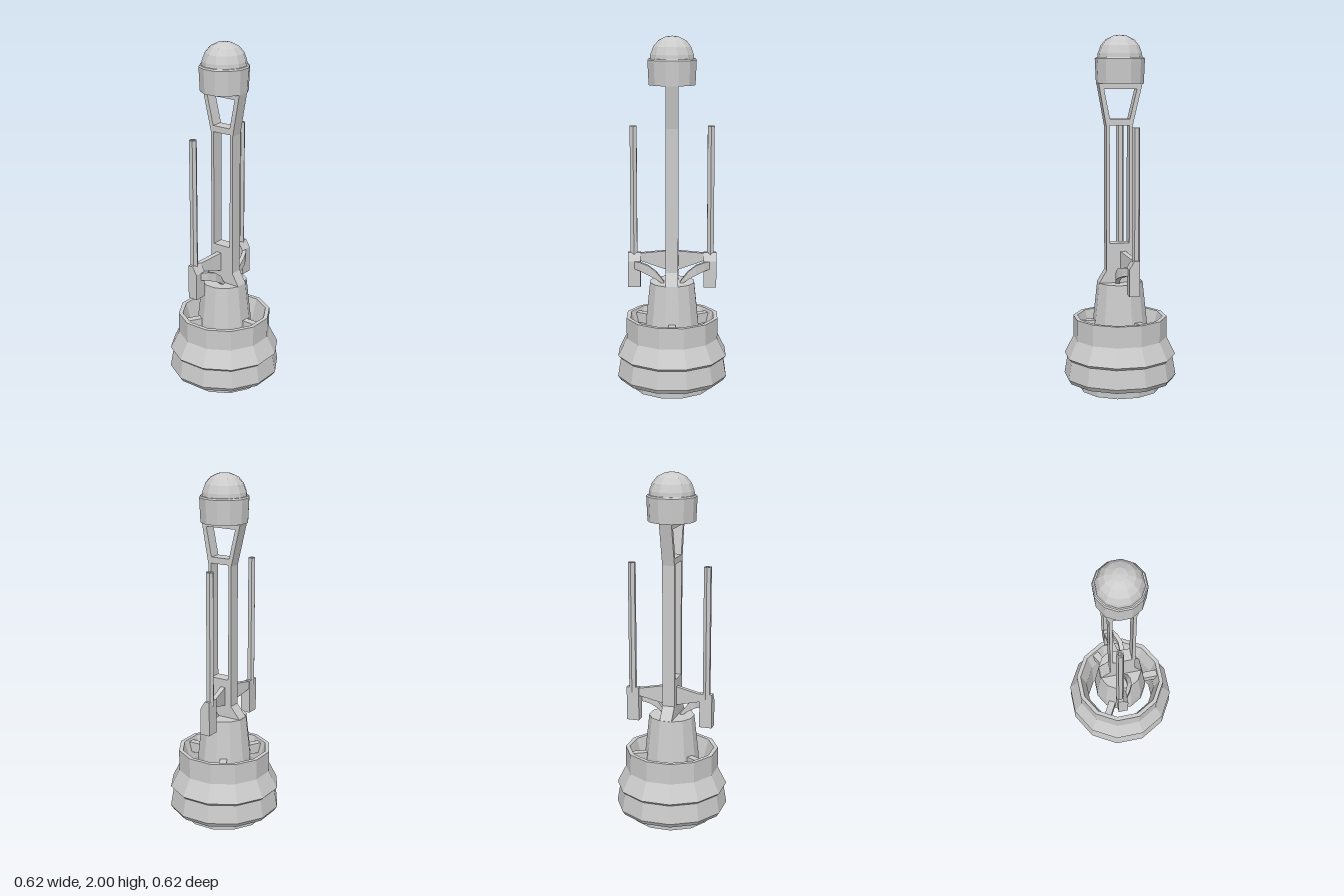
import * as THREE from 'three';

const SIDES = 12;
const mat = new THREE.MeshStandardMaterial({ color: 0xcccccc, flatShading: true });

function add(parent, name, geometry) {
  const mesh = new THREE.Mesh(geometry, mat);
  mesh.name = name;
  parent.add(mesh);
  return mesh;
}

// Twelve-sided turned part; profile is [distance to flat, y], flats face the axes
function turned(profile) {
  const k = 1 / Math.cos(Math.PI / SIDES);
  const pts = profile.map(([r, y]) => new THREE.Vector2(r * k, y));
  return new THREE.LatheGeometry(pts, SIDES, Math.PI / SIDES);
}

// Bar through rectangular sections [x, yBottom, yTop, zBack, zFront]; side -1 mirrors it
function bar(sections, side) {
  const pos = [], index = [];
  for (const [x, y0, y1, z0, z1] of sections) {
    pos.push(x * side, y0, z0, x * side, y1, z0, x * side, y1, z1, x * side, y0, z1);
  }
  const quad = (a, b, c, d) => (side > 0
    ? index.push(a, b, c, a, c, d)
    : index.push(a, c, b, a, d, c));
  const last = (sections.length - 1) * 4;
  for (let i = 0; i < last; i += 4) {
    for (let j = 0; j < 4; j++) {
      const n = (j + 1) % 4;
      quad(i + j, i + 4 + j, i + 4 + n, i + n);
    }
  }
  quad(0, 1, 2, 3);
  quad(last + 3, last + 2, last + 1, last);
  const g = new THREE.BufferGeometry();
  g.setAttribute('position', new THREE.Float32BufferAttribute(pos, 3));
  // Sections run y-then-z, so every quad above is listed clockwise: reverse it
  g.setIndex(index.reverse());
  const flat = g.toNonIndexed();
  flat.computeVertexNormals();
  return flat;
}

// Extrusion along x of a [z, y] outline (running from back to front along its base)
function sideExtrude(outline, holes, width, x = 0) {
  const v = (p) => p.map(([z, y]) => new THREE.Vector2(-z, y));
  const shape = new THREE.Shape(v(outline));
  for (const h of holes) shape.holes.push(new THREE.Path(v(h)));
  const g = new THREE.ExtrudeGeometry(shape, { depth: width, bevelEnabled: false });
  g.translate(0, 0, -width / 2);
  g.rotateY(Math.PI / 2);
  g.translate(x, 0, 0);
  return g;
}

export function createModel() {
  const model = new THREE.Group();
  model.name = 'buoy';

  // Float with a waist groove, open through the middle
  add(model, 'float', turned([
    [0.203, 0], [0.223, 0], [0.226, 0.055], [0.293, 0.055], [0.309, 0.08], [0.292, 0.185],
    [0.307, 0.2], [0.258, 0.3], [0.258, 0.42], [0.235, 0.42], [0.203, 0.3], [0.203, 0],
  ]));

  // Central pedestal
  add(model, 'pedestal', turned([
    [0, 0.3], [0.15, 0.3], [0.15, 0.38], [0.125, 0.62], [0, 0.62],
  ]));

  // Three spokes joining pedestal and float
  for (let i = 0; i < 3; i++) {
    const g = new THREE.BoxGeometry(0.04, 0.06, 0.115);
    g.translate(0, 0.375, 0.1775);
    g.rotateY((i * Math.PI * 2) / 3);
    add(model, 'spoke', g);
  }

  // Mast: a flat frame with two windows
  add(model, 'mast', sideExtrude(
    [[-0.122, 0.62], [-0.065, 0.69], [-0.065, 1.5], [-0.122, 1.74],
      [0.126, 1.74], [0.083, 1.5], [0.083, 0.69], [0.125, 0.62]],
    [
      [[0.064, 0.845], [0.064, 1.505], [-0.047, 1.505], [-0.047, 0.845]],
      [[0.062, 1.54], [0.095, 1.705], [-0.09, 1.705], [-0.05, 1.54]],
    ],
    0.07,
  ));

  // Lamp housing and faceted dome
  add(model, 'lampHousing', turned([
    [0, 1.735], [0.128, 1.735], [0.134, 1.87], [0.128, 1.878], [0, 1.878],
  ]));
  add(model, 'lampDome', turned([
    [0.121, 1.87], [0.118, 1.9], [0.103, 1.942], [0.076, 1.975], [0.036, 1.995], [0, 2],
  ]));

  // Antennas with their brackets, arms and curved struts
  for (const side of [1, -1]) {
    const half = new THREE.Group();
    half.name = side > 0 ? 'leftAntennaAssembly' : 'rightAntennaAssembly';
    model.add(half);

    // Hexagonal rod with a hollow tip
    const rod = new THREE.LatheGeometry(
      [[0.022, 0.75], [0.022, 1.503], [0.013, 1.503], [0.013, 1.45], [0, 1.45]]
        .map(([r, y]) => new THREE.Vector2(r, y)),
      6,
    );
    rod.translate(0.218 * side, 0, -0.045);
    add(half, 'antenna', rod);

    add(half, 'bracket', sideExtrude(
      [[-0.06, 0.583], [-0.06, 0.78], [-0.03, 0.78], [-0.003, 0.735], [-0.003, 0.583]],
      [], 0.072, 0.216 * side,
    ));
    add(half, 'arm', bar([
      [0.02, 0.685, 0.8, -0.024, 0.006],
      [0.19, 0.735, 0.775, -0.058, -0.03],
    ], side));
    add(half, 'strut', bar([
      [0.045, 0.605, 0.625, 0.01, 0.035],
      [0.09, 0.64, 0.685, 0.018, 0.044],
      [0.135, 0.665, 0.72, 0.016, 0.042],
      [0.18, 0.683, 0.733, -0.004, 0.022],
      [0.215, 0.69, 0.733, -0.03, -0.004],
    ], side));
  }
  return model;
}
